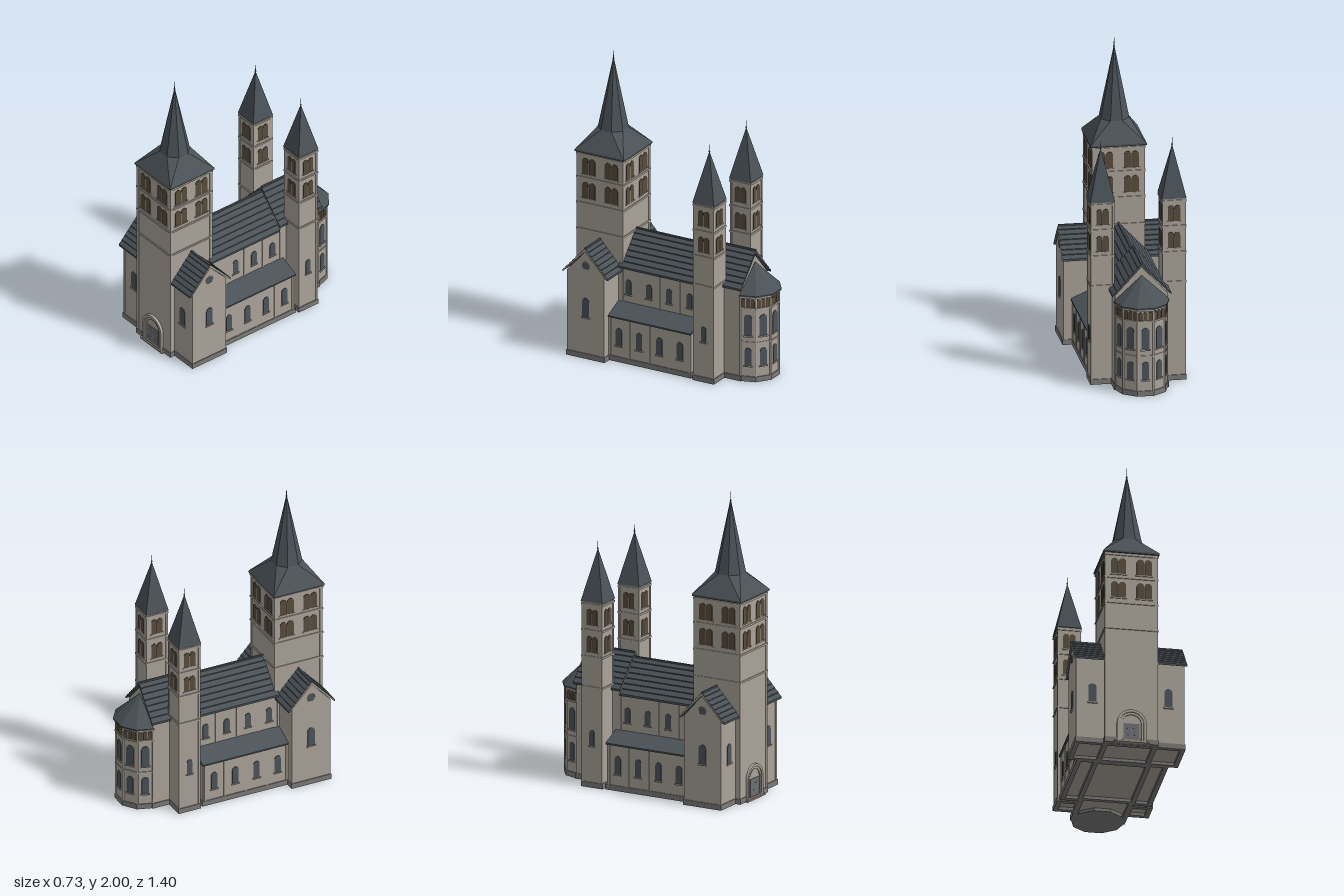
import * as THREE from 'three';
import { ConvexGeometry } from 'three/addons/geometries/ConvexGeometry.js';

const mat = (name, color) => Object.assign(new THREE.MeshStandardMaterial({ color }), { name });
const stone = mat('stone wall', 0xaaa399);
const slate = mat('slate roof', 0x4a5258);
const plinthStone = mat('plinth stone', 0x7c7a79);
const glass = mat('window glass', 0x4b545b);
const louvre = mat('belfry louvre', 0x584b3b);
const doorGrey = mat('door grey', 0x6d6f75);
const stepStone = mat('step stone', 0x9c8d86);

function add(parent, name, geo, material, x = 0, y = 0, z = 0) {
  const m = new THREE.Mesh(geo, material);
  m.name = name;
  m.position.set(x, y, z);
  parent.add(m);
  return m;
}

// Box given by its minimum and maximum on each axis
function block(parent, name, material, x0, x1, y0, y1, z0, z1) {
  return add(parent, name, new THREE.BoxGeometry(x1 - x0, y1 - y0, z1 - z0), material,
    (x0 + x1) / 2, (y0 + y1) / 2, (z0 + z1) / 2);
}

// Group lying on a wall: local +z points out of the wall
function wall(parent, name, x, z, turn) {
  const g = new THREE.Group();
  g.name = name;
  g.position.set(x, 0, z);
  g.rotation.y = turn;
  parent.add(g);
  return g;
}

// Plinth frame, open below
function plinth(parent, x0, x1, z0, z1) {
  const e = 0.006, t = 0.025, h = 0.035;
  for (const [a, b] of [[x0 - e, x0 + t], [x1 - t, x1 + e]]) block(parent, 'plinth', plinthStone, a, b, 0, h, z0 - e, z1 + e);
  for (const [a, b] of [[z0 - e, z0 + t], [z1 - t, z1 + e]]) block(parent, 'plinth', plinthStone, x0 + t, x1 - t, 0, h, a, b);
}

function archShape(w, h) {
  const s = new THREE.Shape();
  s.moveTo(-w / 2, 0);
  s.lineTo(w / 2, 0);
  s.lineTo(w / 2, h - w / 2);
  s.absarc(0, h - w / 2, w / 2, 0, Math.PI, false);
  s.closePath();
  return s;
}
const extrude = (shape, depth) => new THREE.ExtrudeGeometry(shape, { depth, bevelEnabled: false, curveSegments: 8 });

function archWindow(face, x, y, w, h) {
  add(face, 'window', extrude(archShape(w, h), 0.004), glass, x, y, 0);
  block(face, 'sill', stone, x - w / 2 - 0.006, x + w / 2 + 0.006, y - 0.008, y, 0, 0.009);
}

// Twin belfry opening with a slim middle column
function twinWindow(face, x, y, w, h) {
  for (const s of [-1, 1]) {
    add(face, 'belfryOpening', extrude(archShape(w * 0.47, h), 0.004), louvre, x + s * w * 0.25, y, 0);
  }
  add(face, 'belfryColumn', new THREE.CylinderGeometry(0.004, 0.004, h * 0.75, 8), stone, x, y + h * 0.375, 0.002);
  block(face, 'sill', stone, x - w / 2 - 0.005, x + w / 2 + 0.005, y - 0.007, y, 0, 0.006);
}

function pentagon(half, eave, ridge, base) {
  return new THREE.Shape([[-half, base], [half, base], [half, eave], [0, ridge], [-half, eave]].map(p => new THREE.Vector2(...p)));
}

// Gable roof with stepped slate courses, centred along z
function gableRoof(half, eave, ridge, length, courses) {
  const rise = ridge - eave, right = [];
  for (let i = 0; i < courses; i++) {
    const a = i / courses, b = (i + 1) / courses;
    right.push([half * (1 - a), eave + rise * a + 0.006], [half * (1 - b), eave + rise * b]);
  }
  const left = right.slice(0, -1).reverse().map(([x, y]) => [-x, y]);
  const inner = [[-half, eave - 0.008], [0, ridge - 0.02], [half, eave - 0.008]];
  const shape = new THREE.Shape([...right, ...left, ...inner].map(p => new THREE.Vector2(...p)));
  return extrude(shape, length).translate(0, 0, -length / 2);
}

function finial(parent, x, y0, y1, z) {
  add(parent, 'finialRod', new THREE.CylinderGeometry(0.0015, 0.0025, y1 - y0, 6), slate, x, (y0 + y1) / 2, z);
  add(parent, 'finialBall', new THREE.SphereGeometry(0.006, 8, 6), slate, x, y0 + 0.006, z);
}

// Square tower shaft with corner strips and string courses
function shaft(g, half, top, courses, strip) {
  block(g, 'towerShaft', stone, -half, half, 0.02, top, -half, half);
  plinth(g, -half, half, -half, half);
  for (const sx of [-1, 1]) for (const sz of [-1, 1]) {
    add(g, 'cornerStrip', new THREE.BoxGeometry(strip, top - 0.035, strip), stone,
      sx * (half + 0.003 - strip / 2), (top + 0.035) / 2, sz * (half + 0.003 - strip / 2));
  }
  for (const y of courses) block(g, 'stringCourse', stone, -half - 0.006, half + 0.006, y - 0.006, y + 0.006, -half - 0.006, half + 0.006);
}

function buildMainTower(root) {
  const g = wall(root, 'mainTower', 0, 0.505, 0), h = 0.168;
  shaft(g, h, 1.335, [0.8, 0.98, 1.155, 1.315], 0.02);
  for (let i = 0; i < 4; i++) {
    const turn = i * Math.PI / 2;
    const f = wall(g, 'belfryFace', Math.sin(turn) * h, Math.cos(turn) * h, turn);
    for (const x of [-0.083, 0.083]) for (const y of [1.015, 1.18]) twinWindow(f, x, y, 0.1, 0.11);
  }
  // Broach from square eaves to an eight-sided spire
  const pts = [];
  for (const sx of [-1, 1]) for (const sz of [-1, 1]) {
    for (const y of [1.328, 1.34]) pts.push(new THREE.Vector3(sx * 0.18, y, sz * 0.18));
    pts.push(new THREE.Vector3(sx * 0.092, 1.47, sz * 0.038), new THREE.Vector3(sx * 0.038, 1.47, sz * 0.092));
  }
  add(g, 'broachRoof', new ConvexGeometry(pts), slate);
  const spire = new THREE.CylinderGeometry(0.003, 0.0995, 0.47, 8, 1, false, Math.PI / 8).toNonIndexed();
  spire.computeVertexNormals();
  add(g, 'spire', spire, slate, 0, 1.705, 0);
  finial(g, 0, 1.935, 2, 0);
}

function buildSideTower(root, side) {
  const g = wall(root, 'sideTower', side * 0.23, -0.337, 0), h = 0.073;
  shaft(g, h, 1.225, [0.66, 0.86, 1.035, 1.205], 0.014);
  for (let i = 0; i < 4; i++) {
    const turn = i * Math.PI / 2;
    const f = wall(g, 'belfryFace', Math.sin(turn) * h, Math.cos(turn) * h, turn);
    for (const y of [0.89, 1.07]) twinWindow(f, 0, y, 0.082, 0.105);
    if (Math.sin(turn) * side > 0.5) archWindow(f, 0, 0.275, 0.036, 0.105);
  }
  const roof = new THREE.CylinderGeometry(0.002, 0.08 * Math.SQRT2, 0.335, 4, 1, false, Math.PI / 4).toNonIndexed();
  roof.computeVertexNormals();
  add(g, 'pyramidRoof', roof, slate, 0, 1.388, 0);
  finial(g, 0, 1.555, 1.607, 0);
}

function buildTransept(root) {
  const g = wall(root, 'westTransept', 0, 0.503, Math.PI / 2);
  add(g, 'transeptWalls', extrude(pentagon(0.135, 0.589, 0.738, 0.02), 0.7).translate(0, 0, -0.35), stone);
  add(g, 'transeptRoof', gableRoof(0.166, 0.578, 0.758, 0.72, 7), slate);
  block(g, 'ridgeCap', slate, -0.006, 0.006, 0.752, 0.763, -0.36, 0.36);
  plinth(root, -0.35, 0.35, 0.368, 0.638);
  for (const s of [-1, 1]) {
    const end = wall(root, 'gableFace', s * 0.35, 0.503, s * Math.PI / 2);
    archWindow(end, 0, 0.285, 0.05, 0.13);
    add(end, 'roundWindow', new THREE.CylinderGeometry(0.025, 0.025, 0.006, 20).rotateX(Math.PI / 2), glass, 0, 0.638, 0.002);
    add(end, 'roundWindowRim', new THREE.TorusGeometry(0.026, 0.003, 6, 20), stone, 0, 0.638, 0.003);
    // Stone verge along the gable
    const verge = new THREE.Shape([[0.16, 0.573], [0.16, 0.583], [0, 0.757], [-0.16, 0.583], [-0.16, 0.573], [0, 0.738]].map(p => new THREE.Vector2(...p)));
    add(end, 'gableVerge', extrude(verge, 0.004), stone, 0, 0, 0.0095);
    add(end, 'gableKnob', new THREE.SphereGeometry(0.008, 8, 6), slate, 0, 0.758, 0.004);
    for (const [z, turn] of [[0.638, 0], [0.368, Math.PI]]) {
      const f = wall(root, 'transeptFace', s * 0.245, z, turn);
      if (turn === 0) archWindow(f, 0, 0.285, 0.05, 0.13);
      for (const e of [-1, 1]) if (turn === 0) block(f, 'wallStrip', stone, e * 0.096 - 0.009, e * 0.096 + 0.009, 0.035, 0.585, 0, 0.003);
    }
  }
}

function buildNave(root) {
  add(root, 'naveWalls', extrude(pentagon(0.168, 0.602, 0.785, 0.02), 0.6), stone, 0, 0, -0.2);
  add(root, 'naveRoof', gableRoof(0.19, 0.605, 0.81, 0.56, 7), slate, 0, 0, 0.08);
  block(root, 'naveRidge', slate, -0.006, 0.006, 0.803, 0.815, -0.2, 0.34);
  add(root, 'choirWalls', extrude(pentagon(0.17, 0.632, 0.815, 0.02), 0.33), stone, 0, 0, -0.53);
  add(root, 'choirRoof', gableRoof(0.19, 0.633, 0.84, 0.345, 7), slate, 0, 0, -0.372);
  block(root, 'choirRidge', slate, -0.006, 0.006, 0.833, 0.846, -0.545, -0.2);
  plinth(root, -0.17, 0.17, -0.53, -0.2);
  for (const s of [-1, 1]) {
    const x0 = Math.min(s * 0.16, s * 0.29), x1 = Math.max(s * 0.16, s * 0.29);
    block(root, 'aisleWalls', stone, x0, x1, 0.02, 0.305, -0.235, 0.37);
    plinth(root, x0, x1, -0.235, 0.37);
    // Lean-to aisle roof
    const pts = [];
    for (const z of [-0.24, 0.37]) for (const [x, y] of [[0.302, 0.298], [0.302, 0.308], [0.165, 0.367], [0.165, 0.298]]) pts.push(new THREE.Vector3(s * x, y, z));
    add(root, 'aisleRoof', new ConvexGeometry(pts), slate);
    const aisle = wall(root, 'aisleFace', s * 0.29, 0.07, s * Math.PI / 2);
    const clerestory = wall(root, 'clerestoryFace', s * 0.168, 0.07, s * Math.PI / 2);
    for (const u of [-0.225, -0.075, 0.075, 0.225]) {
      archWindow(aisle, u, 0.11, 0.044, 0.12);
      archWindow(clerestory, u, 0.42, 0.042, 0.1);
    }
    for (const u of [-0.29, -0.15, 0, 0.15, 0.29]) {
      block(aisle, 'wallStrip', stone, u - 0.007, u + 0.007, 0.035, 0.3, 0, 0.004);
      block(clerestory, 'wallStrip', stone, u - 0.007, u + 0.007, 0.36, 0.6, 0, 0.004);
    }
  }
}

function buildApse(root) {
  const g = wall(root, 'apse', 0, -0.525, 0), r = 0.165, apothem = r * Math.cos(Math.PI / 10);
  const ring = (name, rad, y0, y1, m) => {
    const geo = new THREE.CylinderGeometry(rad, rad, y1 - y0, 10, 1, false, Math.PI / 10).toNonIndexed();
    geo.computeVertexNormals();
    add(g, name, geo, m, 0, (y0 + y1) / 2, 0);
  };
  ring('apseWalls', r, 0.02, 0.58, stone);
  ring('apsePlinth', r + 0.007, 0, 0.035, plinthStone);
  ring('apseStringCourse', r + 0.005, 0.262, 0.272, stone);
  ring('galleryCornice', r + 0.008, 0.495, 0.506, stone);
  ring('eavesCornice', r + 0.01, 0.57, 0.585, stone);
  for (let i = 0; i < 5; i++) {
    const turn = Math.PI / 2 + Math.PI / 10 + i * Math.PI / 5;
    const f = wall(g, 'apseFace', Math.sin(turn) * apothem, Math.cos(turn) * apothem, turn);
    archWindow(f, 0, 0.108, 0.046, 0.12);
    archWindow(f, 0, 0.312, 0.052, 0.145);
    for (const u of [-0.031, 0, 0.031]) add(f, 'galleryOpening', extrude(archShape(0.026, 0.058), 0.004), louvre, u, 0.507, 0);
  }
  for (let i = 0; i < 6; i++) {
    const a = i * Math.PI / 5;
    add(g, 'cornerShaft', new THREE.CylinderGeometry(0.007, 0.007, 0.54, 8), stone, Math.cos(a) * r, 0.305, -Math.sin(a) * r);
  }
  const pts = [new THREE.Vector3(0, 0.762, -0.012)];
  for (let i = 0; i < 6; i++) for (const y of [0.583, 0.592]) {
    pts.push(new THREE.Vector3(Math.cos(i * Math.PI / 5) * 0.18, y, -0.004 - Math.sin(i * Math.PI / 5) * 0.18));
  }
  add(g, 'apseRoof', new ConvexGeometry(pts), slate);
}

function buildPortal(root) {
  const f = wall(root, 'portal', 0, 0.673, 0);
  // Stepped round arches around the door
  for (const [w, h, hole, holeH, d] of [[0.19, 0.23, 0.155, 0.212, 0.018], [0.155, 0.212, 0.125, 0.196, 0.011]]) {
    const s = archShape(w, h);
    s.holes.push(archShape(hole, holeH));
    add(f, 'portalArch', extrude(s, d), stone);
  }
  add(f, 'tympanum', extrude(archShape(0.125, 0.196), 0.004), stone);
  block(f, 'door', doorGrey, -0.052, 0.052, 0.02, 0.135, 0, 0.008);
  block(f, 'doorSeam', plinthStone, -0.001, 0.001, 0.02, 0.135, 0.008, 0.009);
  for (const y of [0.055, 0.1]) block(f, 'doorBand', plinthStone, -0.052, 0.052, y, y + 0.003, 0.008, 0.009);
  block(f, 'step', stepStone, -0.112, 0.112, 0, 0.01, -0.02, 0.024);
  block(f, 'step', stepStone, -0.09, 0.09, 0.01, 0.02, -0.02, 0.016);
}

export function createModel() {
  const root = new THREE.Group();
  root.name = 'church';
  buildMainTower(root);
  buildTransept(root);
  buildNave(root);
  for (const side of [-1, 1]) buildSideTower(root, side);
  buildApse(root);
  buildPortal(root);
  return root;
}
